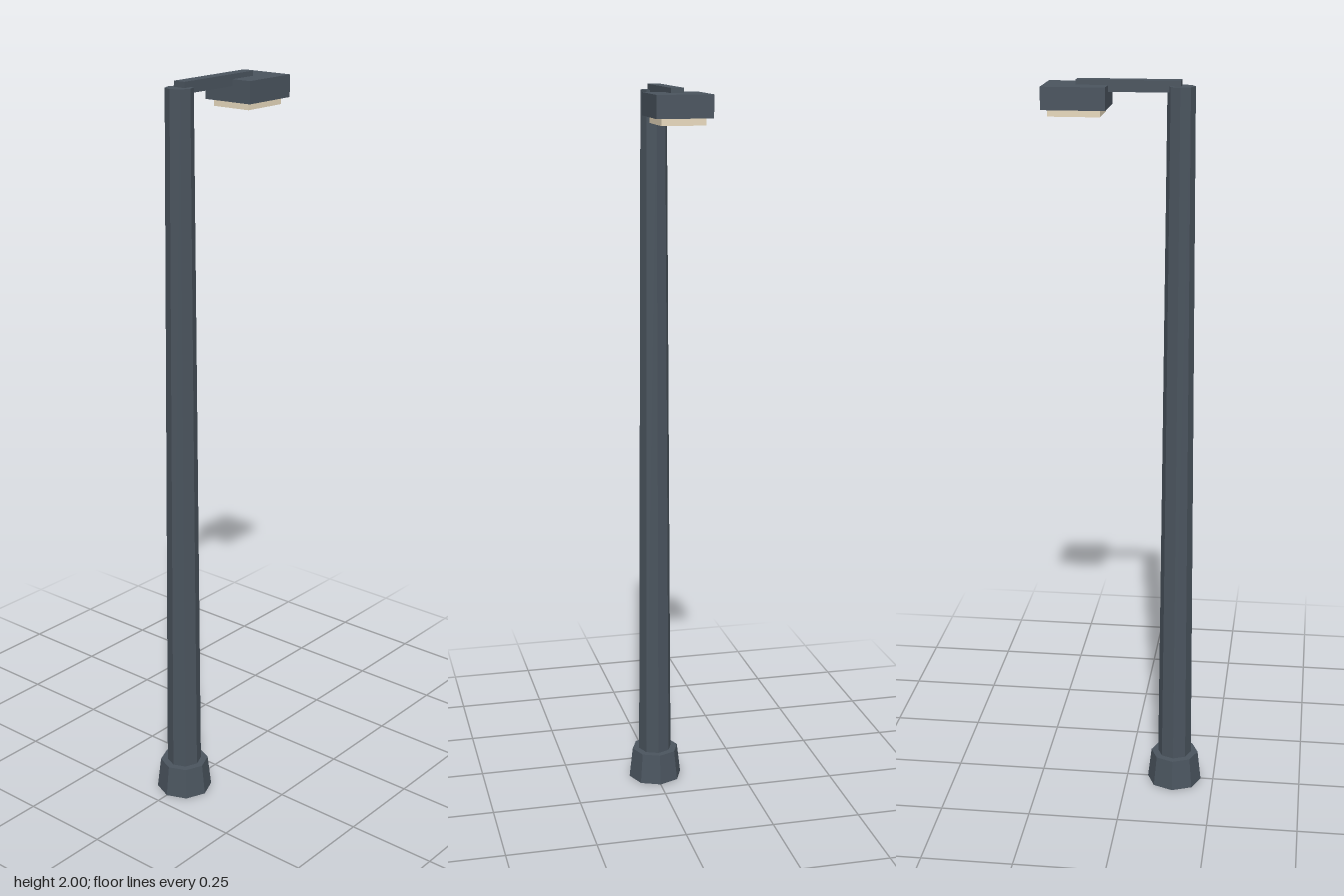
import * as THREE from 'three';

export function createModel() {
  const group = new THREE.Group();
  group.name = 'streetLamp';

  const metal = new THREE.MeshStandardMaterial({ color: 0x4a545e });
  metal.name = 'slate metal';
  const glow = new THREE.MeshStandardMaterial({ color: 0xf2e3c6 });
  glow.name = 'warm lens';

  const poleX = -0.137;

  const add = (name, geometry, material, x, y) => {
    // Unshared vertices keep every facet flat
    const flat = geometry.toNonIndexed();
    flat.computeVertexNormals();
    const mesh = new THREE.Mesh(flat, material);
    mesh.name = name;
    mesh.position.set(x, y, 0);
    group.add(mesh);
  };

  // Eight-sided tapered section standing between two heights
  const taper = (name, rTop, rBottom, y0, y1) =>
    add(name, new THREE.CylinderGeometry(rTop, rBottom, y1 - y0, 8), metal, poleX, (y0 + y1) / 2);

  // Box given by its x and y limits and its depth
  const box = (name, material, x0, x1, y0, y1, depth) =>
    add(name, new THREE.BoxGeometry(x1 - x0, y1 - y0, depth), material, (x0 + x1) / 2, (y0 + y1) / 2);

  // Footing and pole
  taper('base', 0.067, 0.077, 0, 0.087);
  taper('pole', 0.036, 0.048, 0.02, 1.985);

  // Arm reaching over the lamp head
  box('arm', metal, poleX, 0.131, 1.97, 2.0, 0.034);

  // Lamp housing with its lens underneath
  box('lampHousing', metal, 0.049, 0.214, 1.929, 1.987, 0.146);
  box('lens', glow, 0.064, 0.199, 1.911, 1.932, 0.114);

  return group;
}
